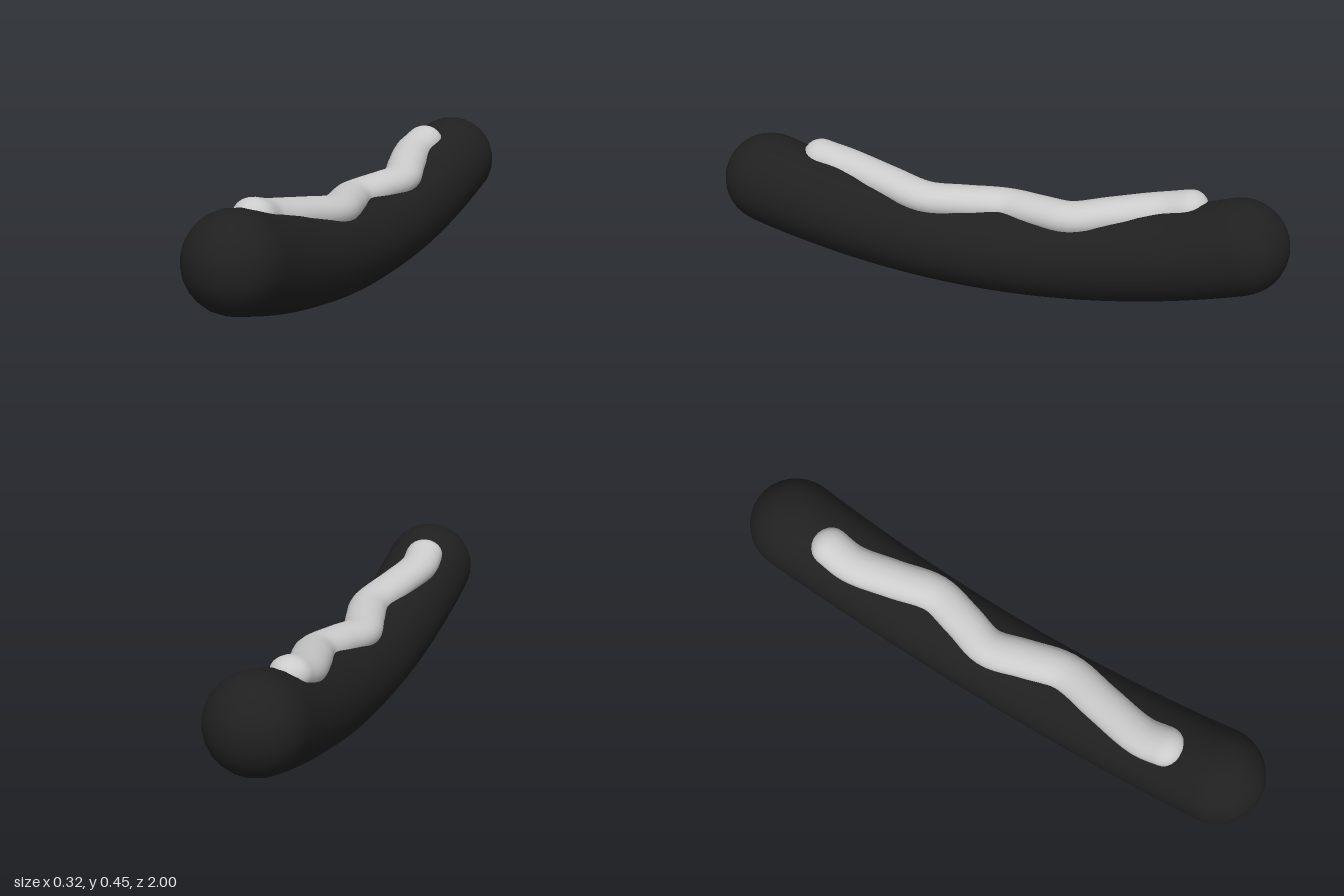
import * as THREE from 'three';

const UP = new THREE.Vector3(0, 1, 0);
const HALF = 0.839; // half length of the body's centre line

// Centre-line height and radius of the body at a given z
const bodyY = (z) => 0.153 + 0.133 * (z / HALF) ** 2;
const bodyR = (z) => 0.153 + 0.008 * (z / HALF) ** 2;

// Sweeps an elliptical section along path(t), t = 0..1 towards +z, with domed ends
function sweep(path, size, steps, sides, capSteps) {
  const tangent = (t) => {
    const a = path(Math.max(0, t - 0.005));
    return path(Math.min(1, t + 0.005)).sub(a).normalize();
  };
  const rings = [];
  const addRing = (t, angle) => {
    const [rx, ry] = size(t);
    const T = tangent(t);
    const side = new THREE.Vector3().crossVectors(UP, T).normalize();
    const normal = new THREE.Vector3().crossVectors(T, side);
    const centre = path(t).addScaledVector(T, Math.sin(angle) * (rx + ry) / 2);
    const k = Math.cos(angle);
    rings.push({ centre, side, normal, rx: rx * k, ry: ry * k });
  };
  const quarter = Math.PI / 2;
  for (let i = 0; i < capSteps; i++) addRing(0, -quarter * (1 - i / capSteps));
  for (let i = 0; i <= steps; i++) addRing(i / steps, 0);
  for (let i = 1; i <= capSteps; i++) addRing(1, quarter * i / capSteps);

  const positions = [];
  const index = [];
  const last = rings.length - 1;
  rings.forEach((ring, i) => {
    const count = i === 0 || i === last ? 1 : sides; // single pole at each end
    for (let j = 0; j < count; j++) {
      const a = (j / sides) * Math.PI * 2;
      const p = ring.centre.clone();
      if (count > 1) {
        p.addScaledVector(ring.side, Math.cos(a) * ring.rx);
        p.addScaledVector(ring.normal, Math.sin(a) * ring.ry);
      }
      positions.push(p.x, p.y, p.z);
    }
  });
  const id = (i, j) => {
    if (i === 0) return 0;
    if (i === last) return 1 + (last - 1) * sides;
    return 1 + (i - 1) * sides + (j % sides);
  };
  for (let i = 0; i < last; i++) {
    for (let j = 0; j < sides; j++) {
      const a = id(i, j), b = id(i, j + 1), c = id(i + 1, j), d = id(i + 1, j + 1);
      if (i > 0) index.push(a, b, c);
      if (i < last - 1) index.push(b, d, c);
      else if (i === 0) index.push(a, d, c);
    }
  }
  // Close the first pole
  if (last > 1) for (let j = 0; j < sides; j++) {
    if (!index.length) break;
  }
  const geometry = new THREE.BufferGeometry();
  geometry.setAttribute('position', new THREE.Float32BufferAttribute(positions, 3));
  geometry.setIndex(index);
  geometry.computeVertexNormals();
  return geometry;
}

export function createModel() {
  const group = new THREE.Group();
  group.name = 'sausage';

  // Curved body with round ends
  const bodyPath = (t) => {
    const z = (t * 2 - 1) * HALF;
    return new THREE.Vector3(0, bodyY(z), z);
  };
  const bodySize = (t) => {
    const r = bodyR((t * 2 - 1) * HALF);
    return [r, r];
  };
  const body = new THREE.Mesh(
    sweep(bodyPath, bodySize, 32, 24, 8),
    new THREE.MeshStandardMaterial({ color: 0x202020 })
  );
  body.name = 'sausageBody';
  group.add(body);

  // Wavy sauce strip lying along the top of the body
  const wave = new THREE.CatmullRomCurve3(
    [[-0.037, -0.66], [-0.042, -0.57], [-0.005, -0.42], [0.031, -0.28], [0.002, -0.15],
      [-0.03, -0.03], [0, 0.1], [0.03, 0.24], [-0.005, 0.4], [-0.042, 0.57], [-0.037, 0.655]]
      .map(([x, z]) => new THREE.Vector3(x, 0, z))
  );
  const saucePath = (t) => {
    const p = wave.getPoint(t);
    p.y = bodyY(p.z) + Math.sqrt(bodyR(p.z) ** 2 - p.x ** 2) - 0.003;
    return p;
  };
  const sauce = new THREE.Mesh(
    sweep(saucePath, () => [0.068, 0.055], 60, 20, 6),
    new THREE.MeshStandardMaterial({ color: 0xcccccc })
  );
  sauce.name = 'sauceStrip';
  group.add(sauce);

  return group;
}
